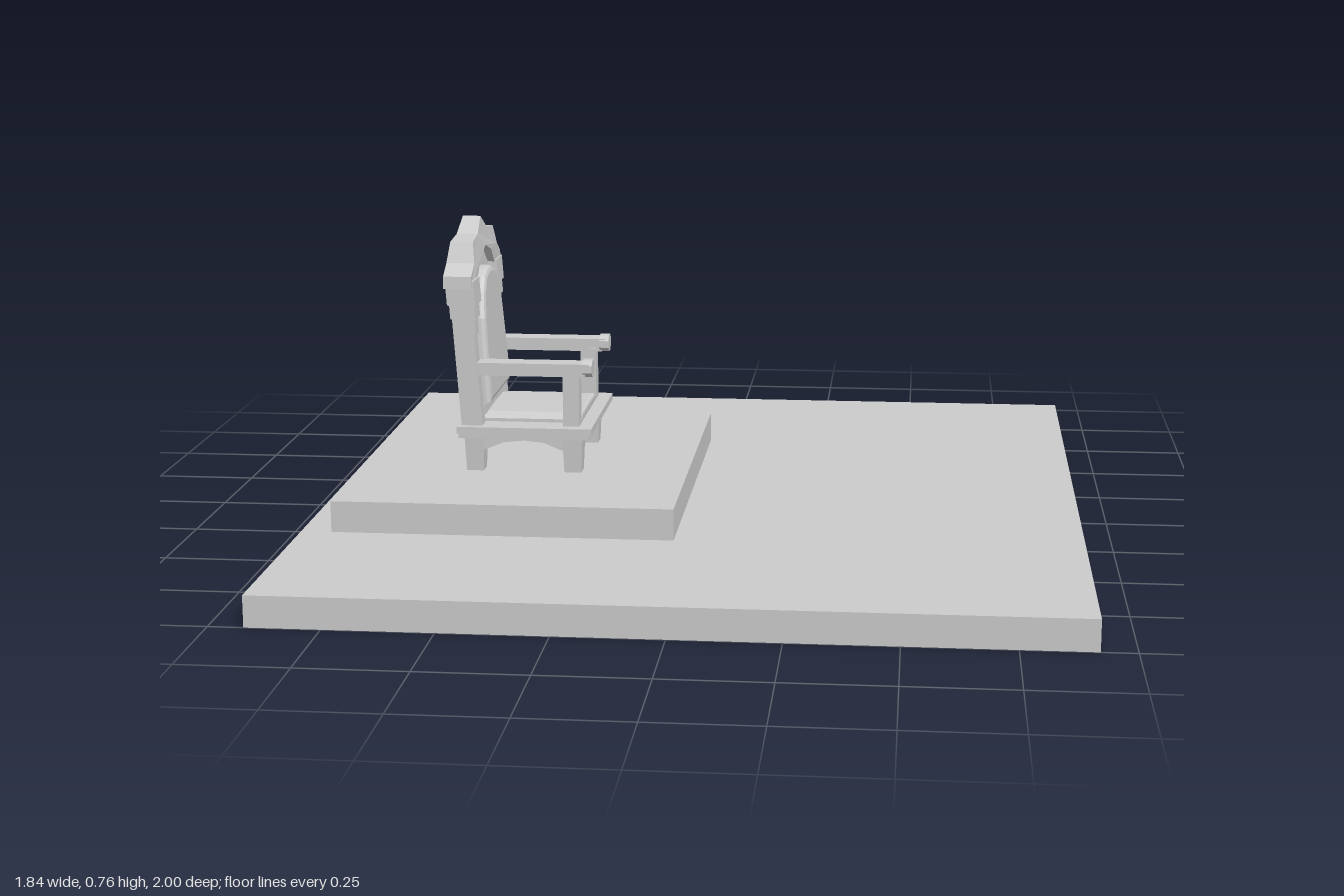
import * as THREE from 'three';

const material = new THREE.MeshStandardMaterial({ color: 0xcccccc, flatShading: true });

export function createModel() {
  const root = new THREE.Group();
  root.name = 'throneOnDais';

  const add = (name, geometry, parent = root) => {
    const mesh = new THREE.Mesh(geometry, material);
    mesh.name = name;
    parent.add(mesh);
    return mesh;
  };

  // Box given by its limits on each axis
  const box = (x0, x1, y0, y1, z0, z1) =>
    new THREE.BoxGeometry(x1 - x0, y1 - y0, z1 - z0)
      .translate((x0 + x1) / 2, (y0 + y1) / 2, (z0 + z1) / 2);

  const outline = (points) => new THREE.Shape(points.map(([a, b]) => new THREE.Vector2(a, b)));
  const mirrored = (half) =>
    [...half, ...half.filter(([a]) => a > 0).reverse().map(([a, b]) => [-a, b])];

  // Symmetric outline in the z-y plane, extruded along x from x0 to x1
  const slab = (half, x0, x1, bevel = 0) =>
    new THREE.ExtrudeGeometry(outline(mirrored(half)), {
      depth: x1 - x0 - 2 * bevel, bevelEnabled: bevel > 0, bevelSize: bevel,
      bevelThickness: bevel, bevelOffset: -bevel, bevelSegments: 2,
    }).rotateY(Math.PI / 2).translate(x0 + bevel, 0, 0);

  const moveVertices = (geometry, rule) => {
    const p = geometry.attributes.position;
    const v = new THREE.Vector3();
    for (let i = 0; i < p.count; i++) {
      rule(v.fromBufferAttribute(p, i));
      p.setXYZ(i, v.x, v.y, v.z);
    }
    geometry.computeVertexNormals();
    return geometry;
  };
  // Backward lean of the backrest
  const lean = (geometry) => moveVertices(geometry, (v) => { v.x -= 0.07 * (v.y - 0.26); });

  // Dais
  add('floorSlab', box(-0.92, 0.92, 0, 0.073, -1, 1));
  add('step', box(-0.847, -0.035, 0.073, 0.148, -0.495, 0.495));

  const chair = new THREE.Group();
  chair.name = 'throne';
  root.add(chair);

  // Tapered legs
  for (const [end, x] of [['back', -0.56], ['front', -0.317]]) {
    for (const [side, z] of [['Left', -0.155], ['Right', 0.155]]) {
      const leg = box(-0.025, 0.025, 0.148, 0.237, -0.026, 0.026);
      moveVertices(leg, (v) => {
        const k = v.y < 0.2 ? 0.84 : 1;
        v.x = v.x * k + x;
        v.z = v.z * k + z;
      });
      add(`${end}Leg${side}`, leg, chair);
    }
  }

  // Arched aprons on all four sides
  const arch = (w) => [[0, 0.226], [w * 0.4, 0.221], [w * 0.7, 0.205], [w, 0.195], [w, 0.238], [0, 0.238]];
  for (const [name, x] of [['backApron', -0.582], ['frontApron', -0.317]]) {
    add(name, slab(arch(0.15).reverse(), x, x + 0.022), chair);
  }
  for (const [name, z] of [['rightApron', 0.155], ['leftApron', -0.177]]) {
    const g = new THREE.ExtrudeGeometry(
      outline(mirrored(arch(0.125).reverse())), { depth: 0.022, bevelEnabled: false });
    add(name, g.translate(-0.438, 0, z), chair);
  }

  // Seat frame and cushion
  add('seatFrameLower', box(-0.597, -0.275, 0.234, 0.25, -0.197, 0.197), chair);
  add('seatFrameUpper', box(-0.6, -0.267, 0.247, 0.264, -0.205, 0.205), chair);
  const cushion = slab([[0, 0.286], [0.11, 0.284], [0.137, 0.272], [0.137, 0.26], [0, 0.26]],
    -0.56, -0.3, 0.006);
  add('seatCushion', cushion, chair);

  // Armrests
  for (const [side, s] of [['left', -1], ['right', 1]]) {
    const arm = new THREE.Group();
    arm.name = `${side}Armrest`;
    chair.add(arm);
    add('post', box(-0.34, -0.3, 0.26, 0.395, s * 0.155 - 0.021, s * 0.155 + 0.021), arm);
    add('lowerRail', box(-0.57, -0.285, 0.388, 0.402, s * 0.158 - 0.02, s * 0.158 + 0.02), arm);
    add('upperRail', box(-0.57, -0.275, 0.4, 0.421, s * 0.158 - 0.026, s * 0.158 + 0.026), arm);
    const scroll = new THREE.CylinderGeometry(0.03, 0.03, 0.024, 8)
      .rotateY(Math.PI / 8).rotateZ(Math.PI / 2).scale(1, 0.75, 1)
      .translate(-0.279, 0.408, s * 0.156);
    add('scroll', scroll, arm);
  }

  // Backrest body, leaning backward
  add('backBody', lean(slab(
    [[0, 0.26], [0.186, 0.26], [0.186, 0.625], [0.14, 0.67], [0.06, 0.7], [0, 0.72]],
    -0.59, -0.548)), chair);

  // Raised surround around the back panel
  for (const s of [-1, 1]) {
    add('backStile', lean(box(-0.56, -0.538, 0.26, 0.5, s * 0.167 - 0.02, s * 0.167 + 0.02)), chair);
    // Stepped capitals
    [[0.49, 0.53, 0.189], [0.53, 0.565, 0.195], [0.565, 0.625, 0.201]].forEach(([y0, y1, w], i) => {
      const z = [s * w, s * (0.145 - i * 0.012)].sort((a, b) => a - b);
      add('capital', lean(box(-0.588 - i * 0.004, -0.534 + i * 0.004, y0, y1, ...z)), chair);
    });
  }
  add('backBottomRail', lean(box(-0.56, -0.536, 0.283, 0.308, -0.145, 0.145)), chair);

  // Arched padded panel
  add('backPanel', lean(slab(
    [[0, 0.31], [0.142, 0.31], [0.138, 0.41], [0.124, 0.52], [0.1, 0.585], [0.065, 0.618], [0.03, 0.628], [0, 0.63]],
    -0.56, -0.519, 0.012)), chair);

  // Pointed crest, thinner toward its top
  const crest = slab(
    [[0, 0.683], [0.075, 0.66], [0.115, 0.622], [0.205, 0.607], [0.203, 0.637], [0.158, 0.663], [0.137, 0.712], [0.062, 0.72], [0, 0.756]],
    -0.625, -0.556);
  moveVertices(crest, (v) => {
    const k = 1 - 0.36 * THREE.MathUtils.clamp((v.y - 0.68) / 0.06, 0, 1);
    v.x = -0.59 + (v.x + 0.59) * k;
  });
  add('crest', crest, chair);

  return root;
}
